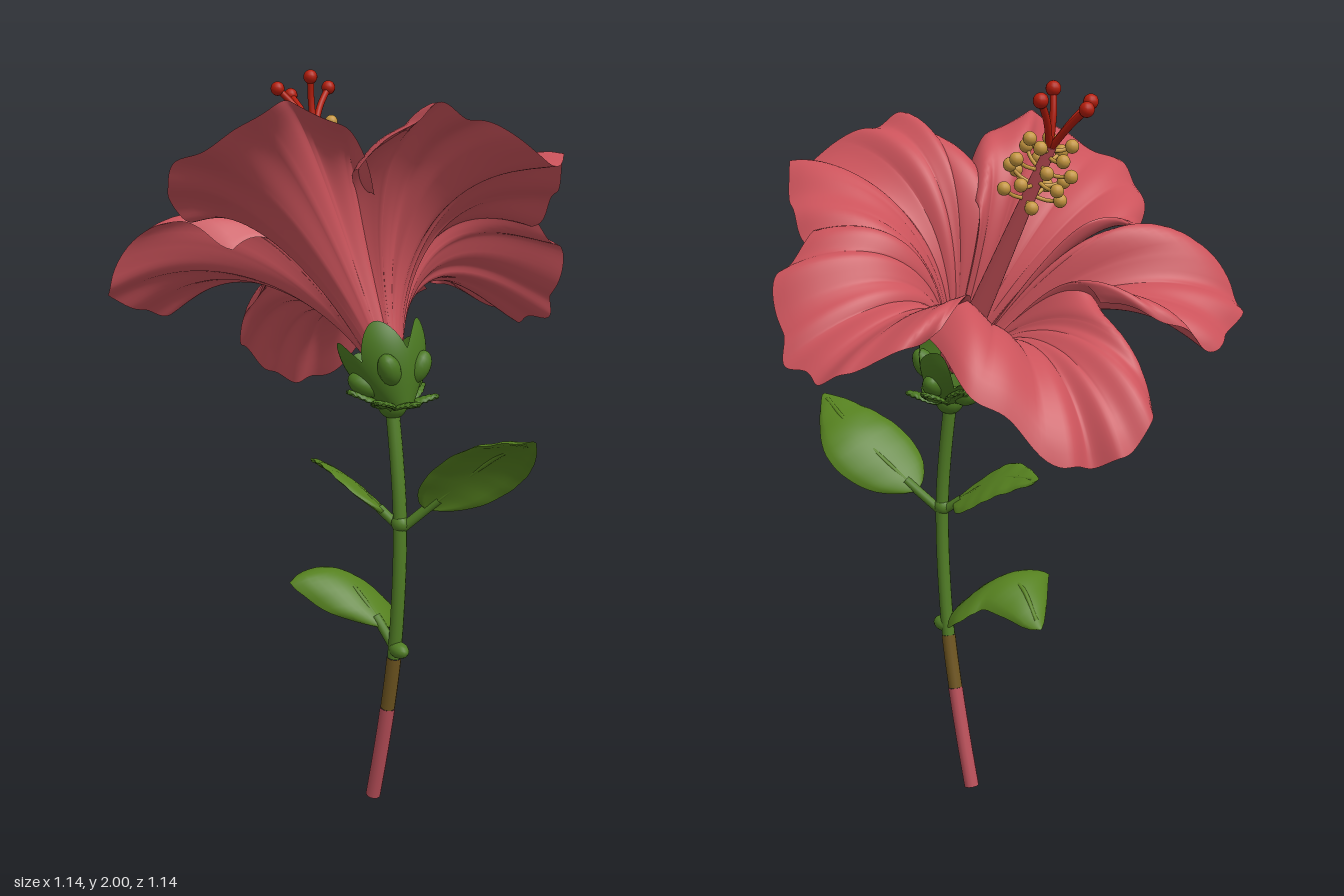
import * as THREE from 'three';
import { mergeGeometries } from 'three/addons/utils/BufferGeometryUtils.js';

const V = (x, y, z) => new THREE.Vector3(x, y, z);
const mat = (name, color, side = THREE.FrontSide) => {
  const m = new THREE.MeshStandardMaterial({ color, side });
  m.name = name;
  return m;
};

// Flower frame: ORIGIN at the petal bases, AXIS along the pistil, UP across the face
const ORIGIN = V(0, 1.25, 0.11);
const AXIS = V(0, 0.85, -0.527).normalize();
const UP = V(0, 0.527, 0.85).normalize();
const local = (u, v, w) => V(u, 0, 0).addScaledVector(UP, v).addScaledVector(AXIS, w).add(ORIGIN);

// Grid surface from a rule f(s, t) -> Vector3, s and t in 0..1
function surface(f, ns, nt) {
  const geo = new THREE.PlaneGeometry(1, 1, nt, ns);
  const pos = geo.attributes.position, uv = geo.attributes.uv;
  for (let i = 0; i < pos.count; i++) {
    const p = f(uv.getY(i), uv.getX(i));
    pos.setXYZ(i, p.x, p.y, p.z);
  }
  geo.computeVertexNormals();
  return geo;
}

// Two outward-facing layers that close with a rounded edge
function shell(geo, thickness) {
  const layers = [1, -1].map(sign => {
    const g = geo.clone();
    const { position: pos, normal: nor, uv } = g.attributes;
    for (let i = 0; i < pos.count; i++) {
      const s = uv.getY(i), t = uv.getX(i);
      const d = sign * thickness / 2 * Math.sqrt(Math.min(1, 10 * Math.min(t, 1 - t, 1 - s)));
      pos.setXYZ(i, pos.getX(i) + nor.getX(i) * d, pos.getY(i) + nor.getY(i) * d, pos.getZ(i) + nor.getZ(i) * d);
    }
    if (sign < 0) g.index.array.reverse();
    g.computeVertexNormals();
    return g;
  });
  return mergeGeometries(layers);
}

// Petal rims as [x, z, height above the throat], each running edge - tip - edge
const RIMS = {
  frontPetal: [[-.13, .17, .39], [-.06, .3, .42], [-.02, .38, .41], [.05, .4, .37], [.12, .48, .3], [.2, .51, .22],
    [.28, .46, .27], [.35, .36, .26], [.39, .28, .25], [.4, .2, .24]],
  leftPetal: [[.38, .21, .27], [.45, .2, .22], [.52, .19, .18], [.54, .12, .12], [.565, .08, .09], [.55, 0, .11],
    [.555, -.08, .15], [.52, -.15, .22], [.43, -.23, .3], [.33, -.24, .34]],
  backPetal: [[.3, -.14, .26], [.33, -.34, .28], [.25, -.4, .24], [.16, -.49, .2], [.08, -.5, .2], [.03, -.55, .24],
    [-.03, -.57, .3], [-.09, -.54, .33], [-.11, -.45, .36], [-.13, -.3, .38]],
  backRightPetal: [[-.11, -.33, .41], [-.19, -.45, .45], [-.28, -.48, .42], [-.36, -.5, .39], [-.45, -.46, .4],
    [-.54, -.43, .41], [-.55, -.38, .44], [-.46, -.28, .51], [-.38, -.2, .45], [-.32, -.13, .37]],
  rightPetal: [[-.3, -.165, .47], [-.4, -.17, .46], [-.48, -.12, .45], [-.55, -.03, .46], [-.57, .05, .46], [-.53, .13, .46],
    [-.45, .18, .47], [-.38, .2, .51], [-.3, .18, .51], [-.2, .2, .47], [-.12, .18, .42], [-.06, .14, .35]],
};

function petalGeometry(rim) {
  // rim points turned into flower coordinates
  const curve = new THREE.CatmullRomCurve3(rim.map(([x, z, w]) => V(x, (z - 0.11 + 0.527 * w) / 0.85, w)));
  const bez = (s, a, b, c, d) => {
    const q = 1 - s;
    return q * q * q * a + 3 * q * q * s * b + 3 * q * s * s * c + s * s * s * d;
  };
  return shell(surface((s, t) => {
    const r = curve.getPoint(t), len = Math.hypot(r.x, r.y);
    const rad = bez(s, 0.035, 0.11, 0.57 * len, len);
    // shallow veins fading towards throat and edge, ruffles growing at the edge
    const vein = 0.006 * Math.sin(s * Math.PI) * (Math.abs(Math.sin(t * Math.PI * 7)) ** 0.6 - 0.6);
    const w = bez(s, 0, 0.27, 0.55 * r.z + 0.28, r.z) + vein + 0.01 * s ** 3 * Math.sin(t * 38);
    return local(r.x / len * rad, r.y / len * rad, w);
  }, 28, 84), 0.016);
}

// Leaf blade along a midrib, with sides curving down
function leafGeometry(points, across, width, stalk, droop) {
  const curve = new THREE.CatmullRomCurve3(points);
  const side = across.clone().normalize();
  return shell(surface((s, t) => {
    const k = 2 * t - 1, b = Math.max(0, (s - stalk) / (1 - stalk));
    const half = 0.004 + width / 2 * Math.sin(Math.PI * Math.pow(b, 0.8)) ** 0.85;
    const normal = curve.getTangent(s).cross(side).normalize();
    if (normal.y < 0) normal.negate();
    const lift = -droop * half * k * k + 0.003 * b * Math.sin(s * 45) * Math.abs(k);
    return curve.getPoint(s).addScaledVector(side, k * half).addScaledVector(normal, lift);
  }, 28, 14), 0.012);
}

export function createModel() {
  const group = new THREE.Group();
  const petal = mat('petal pink', 0xcb535b);
  const green = mat('leaf green', 0x55801f);
  const calyxGreen = mat('calyx green', 0x4a7721, THREE.DoubleSide);
  const stemGreen = mat('stem green', 0x507c25);
  const brown = mat('stem brown', 0x6e5520);
  const stemPink = mat('stem pink', 0xb94f59);
  const gold = mat('anther gold', 0xc5963f);
  const red = mat('stigma red', 0xb21c0a);

  const add = (name, geo, material, parent = group) => {
    const m = new THREE.Mesh(geo, material);
    m.name = name;
    parent.add(m);
    return m;
  };
  const tube = (name, pts, r, material, parent, n = 12) =>
    add(name, new THREE.TubeGeometry(new THREE.CatmullRomCurve3(pts), n, r, 12), material, parent);
  const ball = (name, p, r, material, parent) => {
    const m = add(name, new THREE.SphereGeometry(r, 14, 10), material, parent);
    m.position.copy(p);
    return m;
  };
  const sub = (name) => {
    const g = new THREE.Group();
    g.name = name;
    group.add(g);
    return g;
  };

  // Stem in three colour bands along one bend
  const stem = new THREE.CatmullRomCurve3([[0.008, 0.045], [0.14, 0.08], [0.295, 0.117], [0.45, 0.147], [0.6, 0.164],
    [0.75, 0.172], [0.87, 0.17], [1.0, 0.155], [1.14, 0.132]].map(([y, z]) => V(0, y, z)));
  const bands = [['lowerStem', 0, 2, 0.021, stemPink], ['middleStem', 2, 3, 0.02, brown], ['upperStem', 3, 8, 0.0185, stemGreen]];
  for (const [name, from, to, r, material] of bands) {
    const pts = Array.from({ length: 13 }, (_, i) => stem.getPoint((from + (to - from) * i / 12) / 8));
    tube(name, pts, r, material, group, 24);
  }
  const cap = add('stemEnd', new THREE.CircleGeometry(0.021, 16), stemPink);
  cap.position.set(0, 0.008, 0.045);
  cap.lookAt(0, -0.97, -0.19);

  // Leaf nodes
  ball('lowerNode', V(0, 0.477, 0.17), 0.026, stemGreen).scale.set(0.9, 0.85, 1.35);
  ball('upperNode', V(0, 0.83, 0.172), 0.024, stemGreen).scale.set(0.95, 1, 1.1);

  // Leaves: midrib, crosswise direction, width, droop of the sides
  const leaves = [
    ['frontLeaf', [V(0.005, 0.82, 0.18), V(0.08, 0.92, 0.265), V(0.145, 1.035, 0.39), V(0.125, 1.105, 0.565)], V(0.85, -0.37, 0.13), 0.22, 0.2],
    ['upperBackLeaf', [V(0, 0.82, 0.165), V(-0.03, 0.87, 0.1), V(-0.07, 0.935, 0.0), V(-0.09, 0.957, -0.13)], V(-0.85, 0.52, 0.2), 0.155, 0.1],
    ['lowerBackLeaf', [V(0, 0.475, 0.15), V(-0.03, 0.57, 0.08), V(-0.07, 0.658, -0.04), V(-0.04, 0.56, -0.2)], V(0.93, -0.25, 0.15), 0.27, 0.4],
  ];
  for (const [name, pts, across, width, droop] of leaves) {
    const g = sub(name);
    add('blade', leafGeometry(pts, across, width, 0.18, droop), green, g);
    const rib = new THREE.CatmullRomCurve3(pts);
    tube('stalk', [0, 0.1, 0.2, 0.28].map(s => rib.getPoint(s)), 0.013, stemGreen, g);
    tube('midrib', [0.26, 0.5, 0.75, 0.95].map(s => rib.getPoint(s)), 0.007, green, g, 20);
  }

  // Calyx cup with five broad pointed lobes
  add('calyx', surface((s, t) => {
    const a = -t * Math.PI * 2;
    const lobe = Math.abs(Math.cos(2.5 * (a - Math.PI / 2 + Math.PI / 5)));
    const h = s * (0.125 + 0.085 * lobe);
    const r = 0.03 + 0.085 * Math.sin(Math.min(1, h / 0.19) * Math.PI / 2);
    return local(Math.cos(a) * r, Math.sin(a) * r, h - 0.13);
  }, 16, 80), calyxGreen);
  ball('calyxBase', V(0, 1.145, 0.135), 0.04, calyxGreen);

  // Oval swellings on the calyx below each lobe
  const swellings = sub('calyxSwellings');
  for (let i = 0; i < 5; i++) {
    const a = (0.3 + i * 0.4) * Math.PI, c = Math.cos(a), s = Math.sin(a);
    const bump = ball('swelling', local(c * 0.078, s * 0.078, -0.045), 0.04, calyxGreen, swellings);
    const out = V(c, 0, 0).addScaledVector(UP, s).addScaledVector(AXIS, 0.9).normalize();
    bump.quaternion.setFromUnitVectors(V(0, 1, 0), out);
    bump.scale.set(0.75, 1.15, 0.75);
  }

  // Ring of flat oval bracts below the calyx
  const bracts = sub('bracts');
  for (let i = 0; i < 7; i++) {
    const a = (i + 1.75) / 7 * Math.PI * 2, c = Math.cos(a), s = Math.sin(a);
    const at = (r, y) => V(c * r, y - 0.15 * r * s, 0.13 + s * r);
    const pts = [at(0.02, 1.14), at(0.055, 1.155), at(0.09, 1.17), at(0.125, 1.18)];
    add('bract', leafGeometry(pts, V(-s, 0, c), 0.058, 0, 0.2), calyxGreen, bracts);
  }

  // Petals
  for (const [name, rim] of Object.entries(RIMS)) add(name, petalGeometry(rim), petal);

  // Pistil column
  const column = add('pistil', new THREE.CylinderGeometry(0.014, 0.034, 0.7, 18), petal);
  column.position.copy(local(0, 0, 0.35));
  column.quaternion.setFromUnitVectors(V(0, 1, 0), AXIS);

  // Stamens in staggered rings
  const stamens = sub('stamens');
  for (let ring = 0; ring < 4; ring++) {
    for (let i = 0; i < 5; i++) {
      const a = (i + ring * 0.5 + 0.25) / 5 * Math.PI * 2, w = 0.545 + ring * 0.043 + (i % 2) * 0.015;
      const r = ring === 3 ? 0.055 : 0.075;
      const at = (k, h) => local(Math.cos(a) * k, Math.sin(a) * k, h);
      const tip = at(r, w + 0.02);
      tube('filament', [at(0.008, w), at(r * 0.6, w + 0.005), tip], 0.005, gold, stamens, 6);
      ball('anther', tip, 0.0175, gold, stamens);
    }
  }

  // Branching stigma
  const stigma = sub('stigma');
  const fork = local(0, 0, 0.69);
  for (const tip of [V(0, 1.935, -0.38), V(-0.08, 1.95, -0.312), V(0.075, 1.955, -0.302), V(-0.012, 1.981, -0.252)]) {
    const mid = fork.clone().lerp(tip, 0.5).addScaledVector(AXIS, 0.012);
    tube('stigmaArm', [fork, mid, tip], 0.009, red, stigma, 8);
    ball('stigmaTip', tip, 0.019, red, stigma);
  }
  return group;
}
